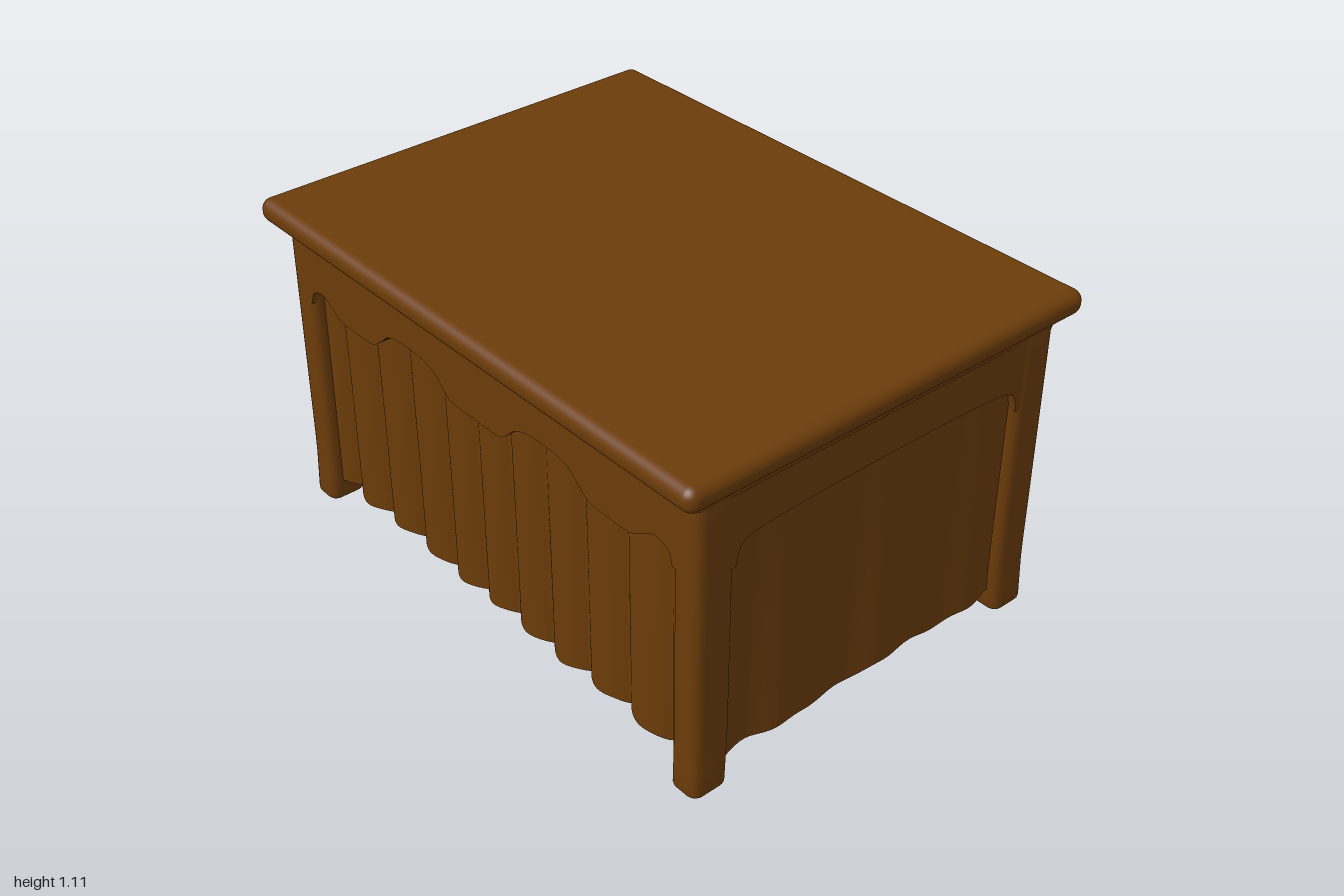
import * as THREE from 'three';
import { toCreasedNormals } from 'three/addons/utils/BufferGeometryUtils.js';
import { RoundedBoxGeometry } from 'three/addons/geometries/RoundedBoxGeometry.js';

const wood = new THREE.MeshStandardMaterial({ color: 0x6c3c0a });
wood.name = 'brown';
const lining = new THREE.MeshStandardMaterial({ color: 0x675d42 });
lining.name = 'grey lining';

function mesh(name, geometry, material = wood) {
  const m = new THREE.Mesh(geometry, material);
  m.name = name;
  return m;
}

// Moves every vertex by a rule
function warp(geometry, rule) {
  const p = geometry.attributes.position;
  const v = new THREE.Vector3();
  for (let i = 0; i < p.count; i++) {
    rule(v.fromBufferAttribute(p, i));
    p.setXYZ(i, v.x, v.y, v.z);
  }
  return geometry;
}

// Upright rounded block from y = 0 to h, reshaped by a rule
function block(w, d, h, r, bevel, rule) {
  const x = w / 2 - bevel, y = d / 2 - bevel;
  const s = new THREE.Shape();
  s.moveTo(-x + r, -y);
  s.lineTo(x - r, -y).quadraticCurveTo(x, -y, x, -y + r);
  s.lineTo(x, y - r).quadraticCurveTo(x, y, x - r, y);
  s.lineTo(-x + r, y).quadraticCurveTo(-x, y, -x, y - r);
  s.lineTo(-x, -y + r).quadraticCurveTo(-x, -y, -x + r, -y);
  const g = new THREE.ExtrudeGeometry(s, {
    depth: h - 2 * bevel, steps: 14, curveSegments: 5,
    bevelEnabled: bevel > 0, bevelSize: bevel, bevelThickness: bevel, bevelSegments: 3,
  });
  g.translate(0, 0, bevel).rotateX(-Math.PI / 2);
  return toCreasedNormals(warp(g, rule), 0.8);
}

// Apron board whose lower edge follows points on the right half, mirrored
function apron(half, lowerEdge, face) {
  const right = lowerEdge.map(([x, y]) => new THREE.Vector2(x, y));
  const left = right.filter((p) => p.x > 0).reverse().map((p) => new THREE.Vector2(-p.x, p.y));
  const edge = new THREE.SplineCurve([...left, ...right]).getPoints(120);
  const end = lowerEdge[lowerEdge.length - 1][1];
  const s = new THREE.Shape([
    new THREE.Vector2(-half, 1.03), new THREE.Vector2(-half, end), ...edge,
    new THREE.Vector2(half, end), new THREE.Vector2(half, 1.03),
  ]);
  const g = new THREE.ExtrudeGeometry(s, { depth: 0.055, bevelEnabled: false });
  return toCreasedNormals(g.translate(0, 0, face - 0.055), 0.7);
}

// Fold depth across each kind of curtain; folds grow toward the hem
const pleats = (x, y) => {
  const a = x * Math.PI / 0.172 + 0.25 * Math.sin(x * 5);
  return (0.04 * Math.pow(Math.abs(Math.cos(a)), 0.75) - 0.025) * (1 - 0.35 * y);
};
const ripples = (x, y) =>
  (0.009 * Math.sin(x * 17 + 0.6) + 0.003 * Math.sin(x * 31)) * (1 - 0.6 * y);

const hem = (x) => 0.006 * Math.sin(x * 13 + 1) + 0.004 * Math.sin(x * 37);

// Hanging cloth with a front and a back layer
function curtain(half, depth, folds) {
  const bottom = 0.07, top = 0.95;
  const g = new THREE.BoxGeometry(half * 2, top - bottom, 0.022, 200, 14, 1);
  g.translate(0, (top + bottom) / 2, depth);
  warp(g, (v) => {
    const t = (v.y - bottom) / (top - bottom);
    v.z += folds(v.x, v.y);
    v.y += hem(v.x) * (1 - t);
  });
  g.computeVertexNormals();
  return g;
}

// Discoloured patch lying on the inner face of a pleated curtain
function innerPatch(depth, cx, cy, rx, ry) {
  const g = new THREE.RingGeometry(0.001, 1, 80, 50);
  g.rotateY(Math.PI).scale(rx, ry, 1);
  warp(g, (v) => {
    v.y += cy + 0.015 * Math.sin(v.x * 14);
    v.x = Math.min(v.x + cx, 0.865);
    v.z = depth - 0.019 + pleats(v.x, v.y);
  });
  g.computeVertexNormals();
  return g;
}

export function createModel() {
  const model = new THREE.Group();
  model.name = 'curtainedTable';

  // Table top with half-round edges, and the cove beneath it
  const top = mesh('tableTop', new RoundedBoxGeometry(1.494, 0.08, 2, 6, 0.036));
  top.position.y = 1.07;
  const cove = mesh('cove', block(1.36, 1.912, 0.05, 0.03, 0, (v) => {
    const flare = 0.03 * Math.pow(v.y / 0.05, 2);
    v.x += Math.sign(v.x) * flare;
    v.z += Math.sign(v.z) * flare;
  }));
  cove.position.y = 0.995;
  model.add(top, cove);

  // Four legs with slightly swollen feet
  for (const sx of [1, -1]) for (const sz of [1, -1]) {
    const leg = mesh('leg', block(0.138, 0.106, 1.04, 0.022, 0.014, (v) => {
      const foot = Math.max(0, 1 - v.y / 0.18);
      v.x = v.x * (1 - 0.06 * foot) + sx * 0.009 * foot;
      v.z = v.z * (1 + 0.04 * foot) + sz * 0.003 * foot;
    }));
    leg.position.set(sx * 0.611, 0, sz * 0.903);
    model.add(leg);
  }

  // Arched end aprons and scalloped side aprons
  const endEdge = [[0, 0.857], [0.25, 0.855], [0.42, 0.848], [0.5, 0.838], [0.53, 0.815], [0.545, 0.76]];
  const sideEdge = [
    [0, 0.78], [0.1, 0.78], [0.14, 0.795], [0.19, 0.84], [0.25, 0.86], [0.33, 0.865], [0.42, 0.853],
    [0.47, 0.815], [0.52, 0.782], [0.6, 0.778], [0.69, 0.782], [0.75, 0.815], [0.79, 0.832],
    [0.84, 0.815], [0.856, 0.77],
  ];
  const sides = [
    ['front', 0, 0.6, endEdge, 0.954, 0.56, 0.92, ripples],
    ['back', Math.PI, 0.6, endEdge, 0.954, 0.56, 0.92, ripples],
    ['left', Math.PI / 2, 0.9, sideEdge, 0.678, 0.87, 0.618, pleats],
    ['right', -Math.PI / 2, 0.9, sideEdge, 0.678, 0.87, 0.618, pleats],
  ];
  for (const [name, turn, half, edge, face, cloth, depth, folds] of sides) {
    const side = new THREE.Group();
    side.name = name + 'Side';
    side.rotation.y = turn;
    side.add(mesh(name + 'Apron', apron(half, edge, face)));
    side.add(mesh(name + 'Curtain', curtain(cloth, depth, folds)));
    if (name === 'right') {
      side.add(mesh('liningPatch', innerPatch(depth, 0.22, 0.5, 0.72, 0.24), lining));
      side.add(mesh('smallLiningPatch', innerPatch(depth, 0.75, 0.82, 0.09, 0.035), lining));
    }
    // Slivers of lining showing beside the back legs
    if (name === 'back') for (const [x, y] of [[-0.533, 0.28], [0.533, 0.5]]) {
      const sliver = mesh('liningSliver', new THREE.BoxGeometry(0.016, 0.06, 0.006), lining);
      sliver.position.set(x, y, depth + 0.013 + ripples(x, y));
      side.add(sliver);
    }
    model.add(side);
  }
  return model;
}
